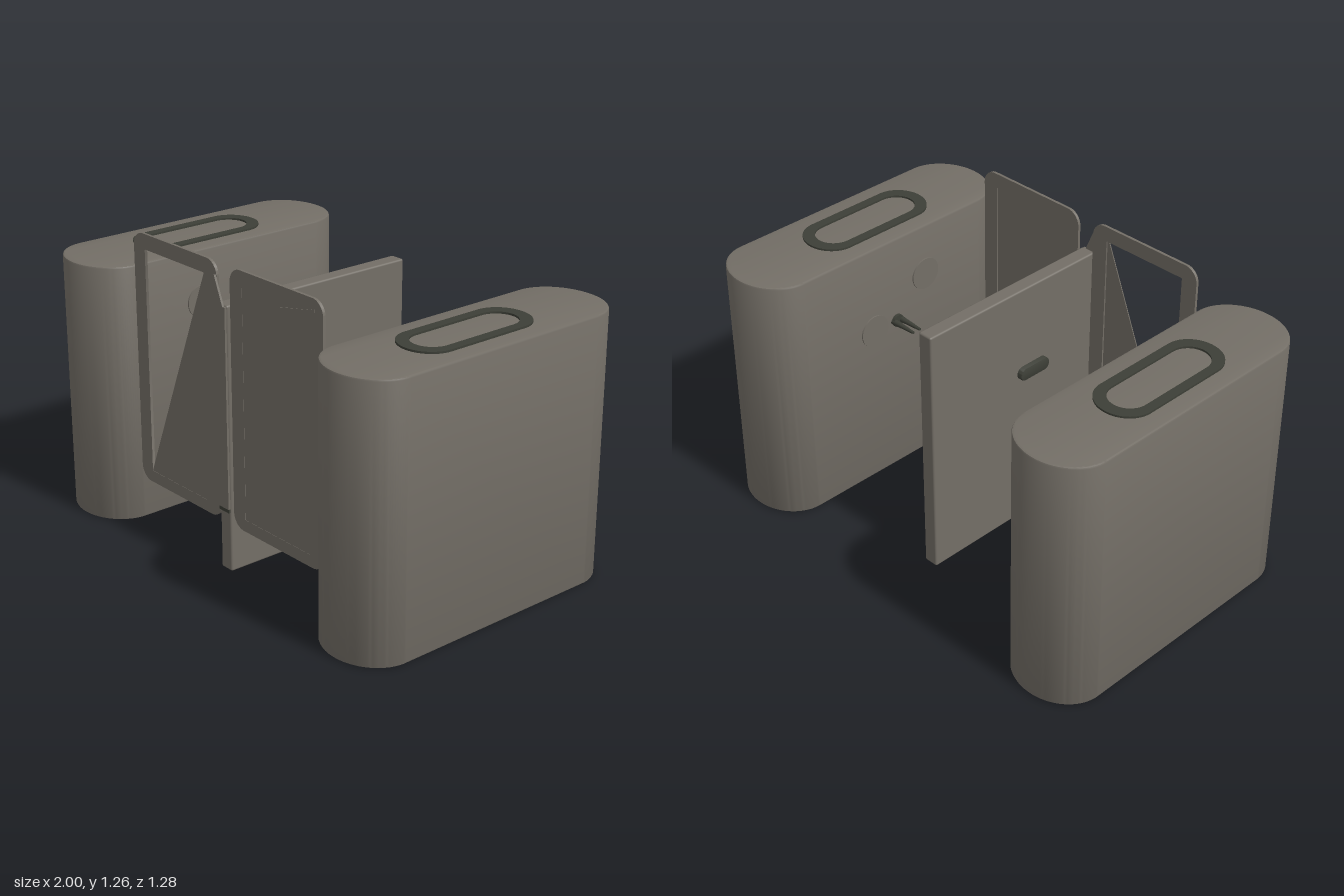
import * as THREE from 'three';
import { toCreasedNormals } from 'three/addons/utils/BufferGeometryUtils.js';
import { RoundedBoxGeometry } from 'three/addons/geometries/RoundedBoxGeometry.js';

const grey = new THREE.MeshStandardMaterial({ color: 0x736e66, side: THREE.DoubleSide });
grey.name = 'warm grey';
const dark = new THREE.MeshStandardMaterial({ color: 0x3d3f37 });
dark.name = 'dark trim';

// Rounded rectangle with elliptical corners, drawn into a Shape or Path
function roundRect(target, x0, y0, x1, y1, rx, ry = rx) {
  target.moveTo(x0 + rx, y0);
  target.lineTo(x1 - rx, y0);
  target.absellipse(x1 - rx, y0 + ry, rx, ry, -Math.PI / 2, 0);
  target.lineTo(x1, y1 - ry);
  target.absellipse(x1 - rx, y1 - ry, rx, ry, 0, Math.PI / 2);
  target.lineTo(x0 + rx, y1);
  target.absellipse(x0 + rx, y1 - ry, rx, ry, Math.PI / 2, Math.PI);
  target.lineTo(x0, y0 + ry);
  target.absellipse(x0 + rx, y0 + ry, rx, ry, Math.PI, Math.PI * 1.5);
  return target;
}

function extrude(shape, depth, bevel = 0) {
  const geo = new THREE.ExtrudeGeometry(shape, {
    depth: depth - 2 * bevel, curveSegments: 14, bevelEnabled: bevel > 0,
    bevelSize: bevel, bevelThickness: bevel, bevelOffset: -bevel, bevelSegments: 2,
  });
  geo.translate(0, 0, bevel);
  return toCreasedNormals(geo, 0.5);
}

function add(parent, name, geo, mat, x = 0, y = 0, z = 0) {
  const mesh = new THREE.Mesh(geo, mat);
  mesh.name = name;
  mesh.position.set(x, y, z);
  parent.add(mesh);
  return mesh;
}

const polygon = (points) => new THREE.Shape(points.map(([x, y]) => new THREE.Vector2(x, y)));

// One gate housing; side is +1 for the model's left, -1 for its right
function makePillar(side) {
  const pillar = new THREE.Group();
  pillar.name = side > 0 ? 'leftPillar' : 'rightPillar';
  pillar.position.x = side * 0.8;

  const body = extrude(roundRect(new THREE.Shape(), -0.2, -0.64, 0.2, 0.64, 0.199, 0.17), 1.105, 0.008);
  add(pillar, 'housing', body.rotateX(-Math.PI / 2), grey);

  // Oval trim on the lid
  const oval = roundRect(new THREE.Shape(), -0.12, -0.295, 0.12, 0.295, 0.119, 0.11);
  oval.holes.push(roundRect(new THREE.Path(), -0.08, -0.245, 0.08, 0.245, 0.079, 0.08));
  add(pillar, 'lidRing', extrude(oval, 0.009).rotateX(-Math.PI / 2), dark, 0, 1.104, 0.02);

  // Round sensor covers on the inner wall
  const inner = -side * 0.2;
  for (const [y, z, r] of [[0.885, 0.155, 0.07], [0.73, -0.13, 0.07]]) {
    const disc = new THREE.CylinderGeometry(r, r, 0.006, 32).rotateZ(Math.PI / 2);
    add(pillar, 'sensorCover', disc, grey, inner - side * 0.008, y, z);
  }

  // Pair of tapering prongs pointing into the passage
  for (const z of [-0.022, 0.014]) {
    const prong = new THREE.CylinderGeometry(0.006, 0.014, 0.125, 12).rotateZ(side * Math.PI / 2);
    add(pillar, 'prong', prong, dark, inner - side * 0.06, 0.725, z);
  }
  const hub = new THREE.CylinderGeometry(0.028, 0.028, 0.02, 16).rotateZ(Math.PI / 2);
  add(pillar, 'prongBase', hub, dark, inner - side * 0.004, 0.725, -0.004);
  return pillar;
}

// Door leaf: a rounded frame with a thin infill sheet
function makeLeaf(name, x0, x1, infill) {
  const leaf = new THREE.Group();
  leaf.name = name;
  const frame = roundRect(new THREE.Shape(), x0, 0.2, x1, 1.26, 0.06);
  frame.holes.push(roundRect(new THREE.Path(), x0 + 0.072, 0.25, x1 - 0.072, 1.197, 0.004));
  add(leaf, 'leafFrame', extrude(frame, 0.012), grey, 0, 0, 0.482);
  add(leaf, 'leafInfill', extrude(polygon(infill), 0.004), grey, 0, 0, 0.489);
  return leaf;
}

export function createModel() {
  const model = new THREE.Group();
  model.name = 'passageGate';
  model.add(makePillar(1), makePillar(-1));

  // Middle divider and the lock pin through it
  add(model, 'divider', new RoundedBoxGeometry(0.066, 1.105, 0.895, 2, 0.008), grey, 0, 0.5525, 0.057);
  const pin = extrude(roundRect(new THREE.Shape(), -0.08, -0.028, 0.08, 0.028, 0.027), 0.112, 0.006);
  add(model, 'lockPin', pin.rotateY(Math.PI / 2), dark, -0.056, 0.72, 0.15);

  // Hinge cover with a pointed tip
  const cover = polygon([[-0.031, 0.27], [0.031, 0.27], [0.031, 1.1], [0.018, 1.1], [-0.03, 1.215]]);
  add(model, 'hingeCover', extrude(cover, 0.009), grey, 0, 0, 0.505);
  add(model, 'hingeFoot', new THREE.BoxGeometry(0.06, 0.022, 0.008), dark, 0, 0.265, 0.508);

  // Right leaf is half open along a diagonal, left leaf is closed
  model.add(makeLeaf('rightLeaf', -0.573, -0.04,
    [[-0.505, 0.245], [-0.11, 0.245], [-0.11, 1.2], [-0.118, 1.2]]));
  model.add(makeLeaf('leftLeaf', 0.04, 0.573,
    [[0.11, 0.245], [0.505, 0.245], [0.505, 1.2], [0.11, 1.2]]));

  // Narrow crease near the top of the closed leaf
  const crease = polygon([[0.33, 1.178], [0.53, 1.208], [0.53, 1.222], [0.5, 1.212]]);
  add(model, 'leafCrease', extrude(crease, 0.003), grey, 0, 0, 0.493);
  return model;
}
